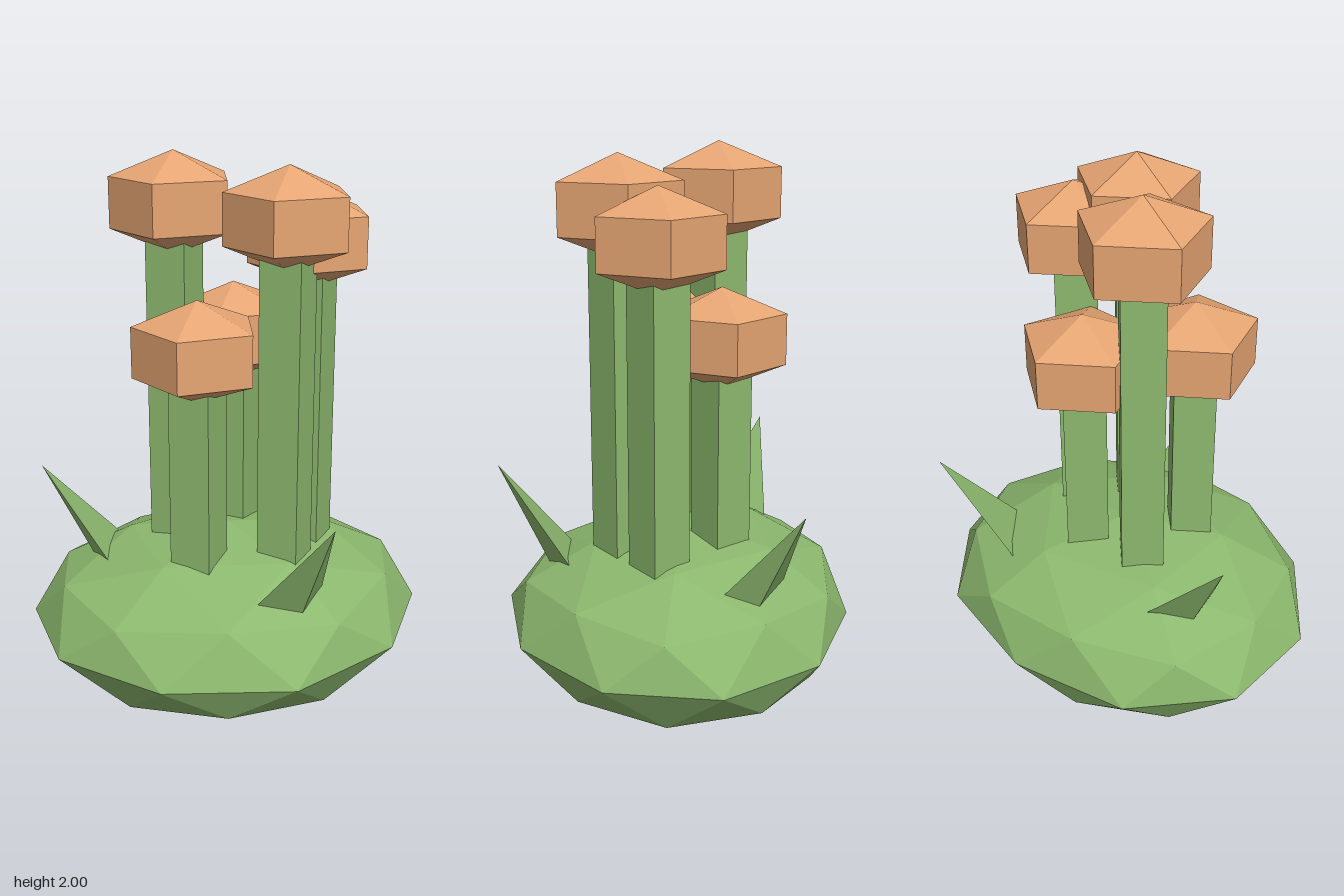
import * as THREE from 'three';

const green = new THREE.MeshStandardMaterial({ color: 0x8cb86e, flatShading: true });
const orange = new THREE.MeshStandardMaterial({ color: 0xe6a573, flatShading: true });

function part(name, geometry, material) {
  const mesh = new THREE.Mesh(geometry, material);
  mesh.name = name;
  return mesh;
}

// Squashed faceted mound with a flat underside
function mound() {
  const g = new THREE.IcosahedronGeometry(1, 1);
  g.rotateZ(-Math.atan(2 / (1 + Math.sqrt(5)))); // a corner points straight up
  const p = g.attributes.position;
  for (let i = 0; i < p.count; i++) {
    const x = p.getX(i), y = p.getY(i), z = p.getZ(i);
    const tuck = y < -0.1 ? 0.94 : 1;
    p.setXYZ(i,
      0.783 * x * tuck,
      Math.max(0, 0.19 + 0.36 * y),
      (0.678 * z - 0.045 * (1 - z ** 4)) * tuck);
  }
  g.computeVertexNormals();
  return part('mound', g, green);
}

// Square stem with a five-sided cap; y is the middle of the cap
function mushroom(x, y, z) {
  const group = new THREE.Group();
  group.name = 'mushroom';
  const foot = 0.35;
  const stem = part('stem', new THREE.CylinderGeometry(0.113, 0.113, y - foot, 4), green);
  stem.position.set(x, (y + foot) / 2, z);
  const cap = part('cap', new THREE.SphereGeometry(1, 5, 3).rotateY(-Math.PI / 2), orange);
  cap.scale.set(0.274, 0.19, 0.274);
  cap.position.set(x, y, z);
  group.add(stem, cap);
  return group;
}

// Three-sided thorn: tip and three base corners, rooted a little deeper
function thorn(tip, ...base) {
  const t = new THREE.Vector3(...tip);
  const [a, b, c] = base.map((q) => new THREE.Vector3(...q).sub(t).multiplyScalar(1.12).add(t));
  const g = new THREE.BufferGeometry().setFromPoints([t, a, b, t, b, c, t, c, a, a, c, b]);
  g.computeVertexNormals();
  const mesh = part('thorn', g, green);
  return mesh;
}

export function createModel() {
  const model = new THREE.Group();
  model.name = 'mushroomCluster';
  model.add(mound());

  const spots = [
    [-0.17, 1.81, -0.14],
    [0.15, 1.78, 0.19],
    [0.31, 1.68, 0.025],
    [0.08, 1.3, -0.18],
    [-0.18, 1.315, 0.14],
  ];
  for (const s of spots) model.add(mushroom(...s));

  // corners run counter-clockwise seen from the tip
  model.add(
    thorn([0.13, 0.79, 0.675], [-0.055, 0.43, 0.44], [0.1, 0.41, 0.5], [0.225, 0.43, 0.385]),
    thorn([-0.68, 0.79, -0.29], [-0.38, 0.46, -0.33], [-0.5, 0.41, -0.22], [-0.475, 0.43, -0.07]),
    thorn([0.565, 0.79, -0.51], [0.45, 0.45, -0.235], [0.46, 0.42, -0.36], [0.28, 0.46, -0.44]),
  );
  return model;
}
